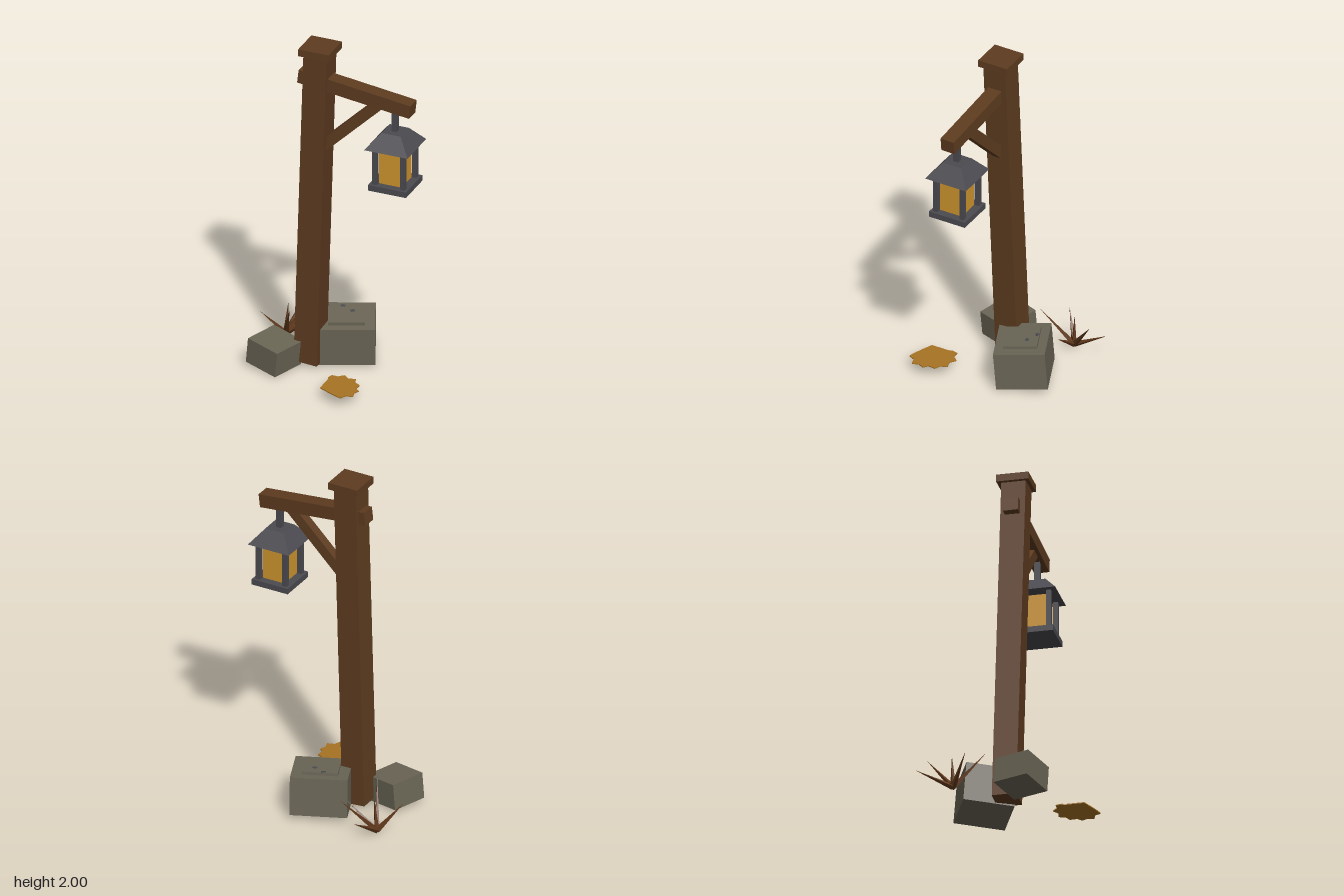
import * as THREE from 'three';

const mat = (name, color) => {
  const m = new THREE.MeshStandardMaterial({ color });
  m.name = name;
  return m;
};

export function createModel() {
  const wood = mat('brown wood', 0x5e3c20);
  const stone = mat('grey stone', 0x6a6555);
  const metal = mat('dark metal', 0x4a4a50);
  const glow = mat('amber glass', 0xcf952e);
  const leafGold = mat('leaf gold', 0xa87324);
  const dryGrass = mat('dry grass', 0x623a1c);

  const model = new THREE.Group();
  const V = (x, y, z) => new THREE.Vector3(x, y, z);
  const add = (parent, name, geo, material, x = 0, y = 0, z = 0) => {
    const mesh = new THREE.Mesh(geo, material);
    mesh.name = name;
    mesh.position.set(x, y, z);
    parent.add(mesh);
    return mesh;
  };
  const box = (parent, name, material, w, h, d, x, y, z) =>
    add(parent, name, new THREE.BoxGeometry(w, h, d), material, x, y, z);

  // box whose length runs from a to b
  const bar = (name, a, b, h, d) => {
    const dir = b.clone().sub(a), mid = a.clone().add(b).multiplyScalar(0.5);
    const mesh = box(model, name, wood, dir.length(), h, d, mid.x, mid.y, mid.z);
    mesh.rotation.order = 'YZX';
    mesh.rotation.y = -Math.atan2(dir.z, dir.x);
    mesh.rotation.z = Math.atan2(dir.y, Math.hypot(dir.x, dir.z));
  };

  // leaning post: a box sheared towards its top
  const postGeo = new THREE.BoxGeometry(0.139, 1.95, 0.139);
  const p = postGeo.attributes.position;
  for (let i = 0; i < p.count; i++) {
    const t = p.getY(i) / 1.95 + 0.5;
    p.setX(i, p.getX(i) - 0.149 + 0.075 * t);
    p.setZ(i, p.getZ(i) + 0.01 + 0.036 * t);
    p.setY(i, 0.022 + 1.945 * t - (t < 0.5 ? 0.07 * (p.getX(i) + 0.149) : 0));
  }
  postGeo.computeVertexNormals();
  add(model, 'post', postGeo, wood);
  box(model, 'postCap', wood, 0.183, 0.042, 0.183, -0.075, 1.979, 0.044);

  // crossbeam and diagonal brace
  bar('crossbeam', V(-0.19, 1.803, 0.04), V(0.489, 1.726, 0.058), 0.08, 0.085);
  bar('brace', V(-0.06, 1.378, 0.042), V(0.292, 1.722, 0.046), 0.062, 0.055);

  // hanging lantern
  const lantern = new THREE.Group();
  lantern.name = 'lantern';
  lantern.position.set(0.383, 0, 0.0575);
  model.add(lantern);
  box(lantern, 'hanger', metal, 0.032, 0.14, 0.032, 0, 1.635, 0);
  const roofGeo = new THREE.CylinderGeometry(0.058 * Math.SQRT2, 0.13 * Math.SQRT2, 0.088, 4, 1)
    .rotateY(Math.PI / 4).toNonIndexed();
  roofGeo.computeVertexNormals();
  add(lantern, 'lanternRoof', roofGeo, metal, 0, 1.529, 0);
  box(lantern, 'lanternBase', metal, 0.228, 0.034, 0.228, 0, 1.247, 0);
  box(lantern, 'lanternGlass', glow, 0.137, 0.212, 0.137, 0, 1.369, 0);
  for (const sx of [-1, 1]) for (const sz of [-1, 1])
    box(lantern, 'lanternCorner', metal, 0.028, 0.225, 0.028, sx * 0.084, 1.374, sz * 0.084);

  // large stone with a raised slab and two small flat studs
  const bigStone = new THREE.Group();
  bigStone.name = 'largeStone';
  bigStone.position.set(0.003, 0.131, -0.147);
  bigStone.rotation.set(0.078, 0.405, 0, 'YXZ');
  model.add(bigStone);
  box(bigStone, 'stoneBlock', stone, 0.32, 0.228, 0.288, 0, 0, 0);
  box(bigStone, 'stoneSlab', stone, 0.203, 0.03, 0.19, 0, 0.116, 0);
  for (const [x, z] of [[-0.02, -0.083], [0.033, -0.032]])
    add(bigStone, 'stud', new THREE.CylinderGeometry(0.016, 0.016, 0.006, 6), metal, x, 0.1295, z)
      .scale.z = 0.75;

  // small tilted stone
  const small = box(model, 'smallStone', stone, 0.217, 0.152, 0.216, -0.311, 0.09, 0.129);
  small.rotation.set(0, -0.324, -0.105, 'YXZ');

  // dry grass tuft: thin spikes spreading from one root
  const root = V(-0.4, 0.012, -0.235);
  const tips = [
    [-0.376, 0.15, -0.455], [-0.264, 0.25, -0.413], [-0.214, 0.15, -0.24],
    [-0.308, 0.245, -0.07], [-0.514, 0.167, -0.139], [-0.388, 0.21, -0.245],
  ];
  for (const t of tips) {
    const dir = V(...t).sub(root), len = dir.length();
    const geo = new THREE.ConeGeometry(0.017, len, 4).translate(0, len / 2, 0).toNonIndexed();
    geo.computeVertexNormals();
    const blade = add(model, 'grassBlade', geo, dryGrass, root.x, root.y, root.z);
    blade.quaternion.setFromUnitVectors(V(0, 1, 0), dir.normalize());
  }

  // fallen leaf with a jagged rim, given as x and z around its centre
  const rim = [
    [-0.1, -0.098], [-0.064, -0.098], [-0.037, -0.128], [-0.004, -0.103], [0.037, -0.114],
    [0.051, -0.076], [0.084, -0.06], [0.081, -0.018], [0.106, 0.004], [0.092, 0.037],
    [0.103, 0.075], [0.062, 0.086], [0.048, 0.122], [0.018, 0.114], [-0.03, 0.095],
    [-0.1, 0.064], [-0.1, -0.04], [-0.108, -0.065],
  ];
  const leafShape = new THREE.Shape(rim.map(([x, z]) => new THREE.Vector2(x, -z)));
  const leafGeo = new THREE.ExtrudeGeometry(leafShape, { depth: 0.006, bevelEnabled: false })
    .rotateX(-Math.PI / 2);
  add(model, 'fallenLeaf', leafGeo, leafGold, 0.178, 0.062, 0.33).rotation.z = -0.035;

  return model;
}
